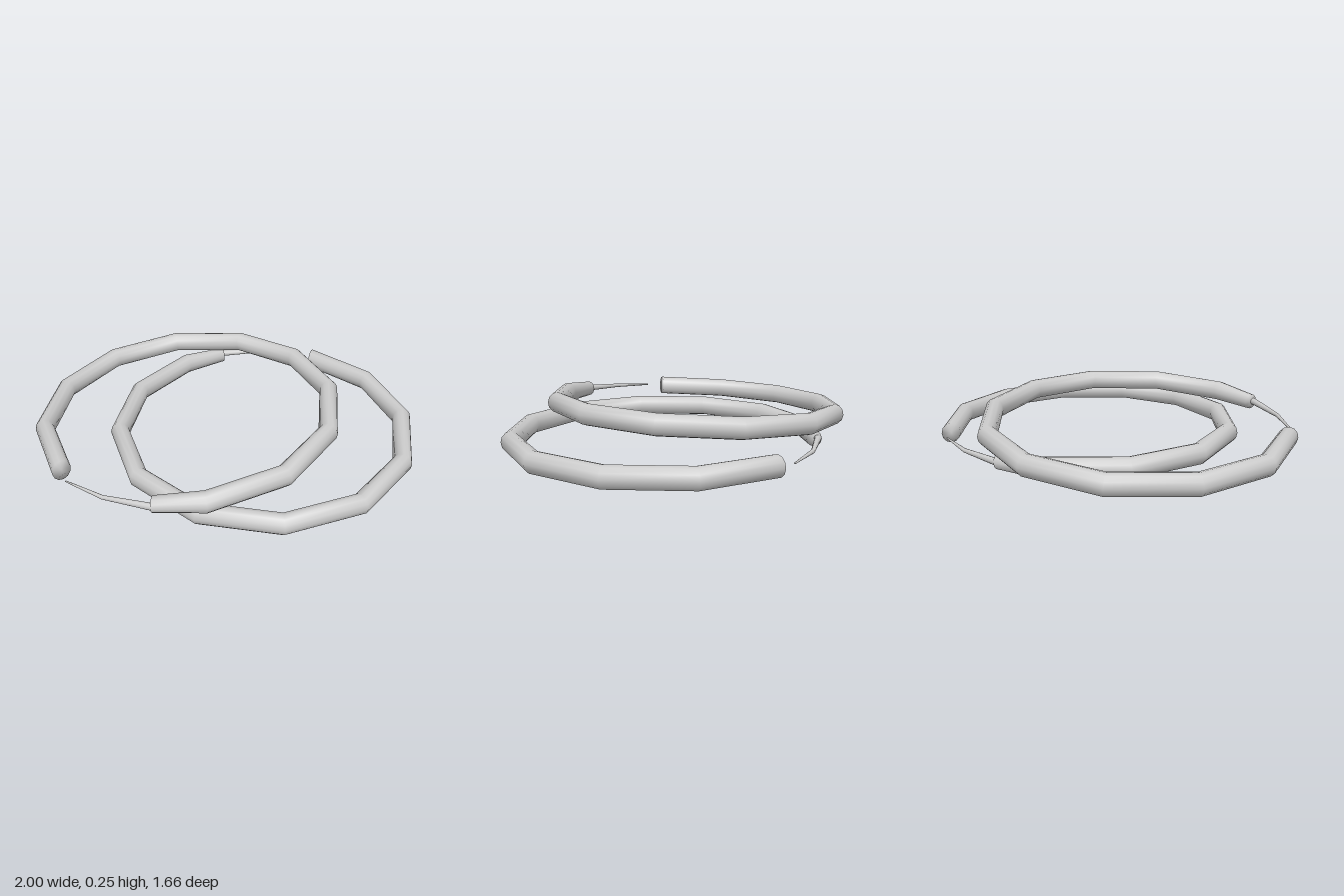
import * as THREE from 'three';

const SIDES = 12;
const RAD = Math.PI / 180;

// Closed sweep around the y axis.
// Each station: [angle in degrees, ring radius, section half-width, section half-height]
function sweep(stations) {
  const pos = [], index = [];
  for (const [deg, r, a, b] of stations) {
    const c = Math.cos(deg * RAD), s = Math.sin(deg * RAD);
    for (let j = 0; j < SIDES; j++) {
      const t = (j / SIDES) * Math.PI * 2;
      const d = r + a * Math.cos(t);
      pos.push(d * c, b * Math.sin(t), d * s);
    }
  }
  const last = stations.length - 1;
  // end centres for the caps
  for (const k of [0, last]) {
    const [deg, r] = stations[k];
    pos.push(r * Math.cos(deg * RAD), 0, r * Math.sin(deg * RAD));
  }
  const startCentre = stations.length * SIDES;
  for (let j = 0; j < SIDES; j++) {
    const n = (j + 1) % SIDES;
    for (let i = 0; i < last; i++) {
      const p = i * SIDES, q = p + SIDES;
      index.push(p + j, p + n, q + j, p + n, q + n, q + j);
    }
    index.push(startCentre, n, j);
    index.push(startCentre + 1, last * SIDES + j, last * SIDES + n);
  }
  const g = new THREE.BufferGeometry();
  g.setAttribute('position', new THREE.Float32BufferAttribute(pos, 3));
  g.setIndex(index);
  g.computeVertexNormals();
  return g;
}

export function createModel() {
  const model = new THREE.Group();
  model.name = 'hoopEarrings';
  const material = new THREE.MeshStandardMaterial({ color: 0xcccccc });

  // Thick hoop: ten straight segments of 30 degrees plus a short narrowing stub
  const stations = [];
  for (let i = 0; i <= 10; i++) stations.push([i * 30, 0.758, 0.049, 0.054]);
  stations.push([318.3, 0.758, 0.038, 0.041]);
  const hoopGeometry = sweep(stations);

  // Thin pin tapering across the gap
  const pinGeometry = sweep([
    [316, 0.772, 0.019, 0.02],
    [319, 0.775, 0.017, 0.018],
    [336.5, 0.775, 0.01, 0.011],
    [353.5, 0.787, 0.004, 0.004],
  ]);

  function earring(name, position, yaw, tiltX, tiltZ) {
    const group = new THREE.Group();
    group.name = name;
    const hoop = new THREE.Mesh(hoopGeometry, material);
    hoop.name = 'hoop';
    const pin = new THREE.Mesh(pinGeometry, material);
    pin.name = 'pin';
    group.add(hoop, pin);
    group.position.set(...position);
    group.rotation.set(tiltX, yaw * RAD, tiltZ, 'XZY');
    model.add(group);
  }

  // One lies flat, the other leans on top of it
  earring('lowerEarring', [0.195, 0.054, 0.02], -300, 0, 0);
  earring('upperEarring', [-0.195, 0.145, -0.03], -146.6, -0.026, 0.066);
  return model;
}
